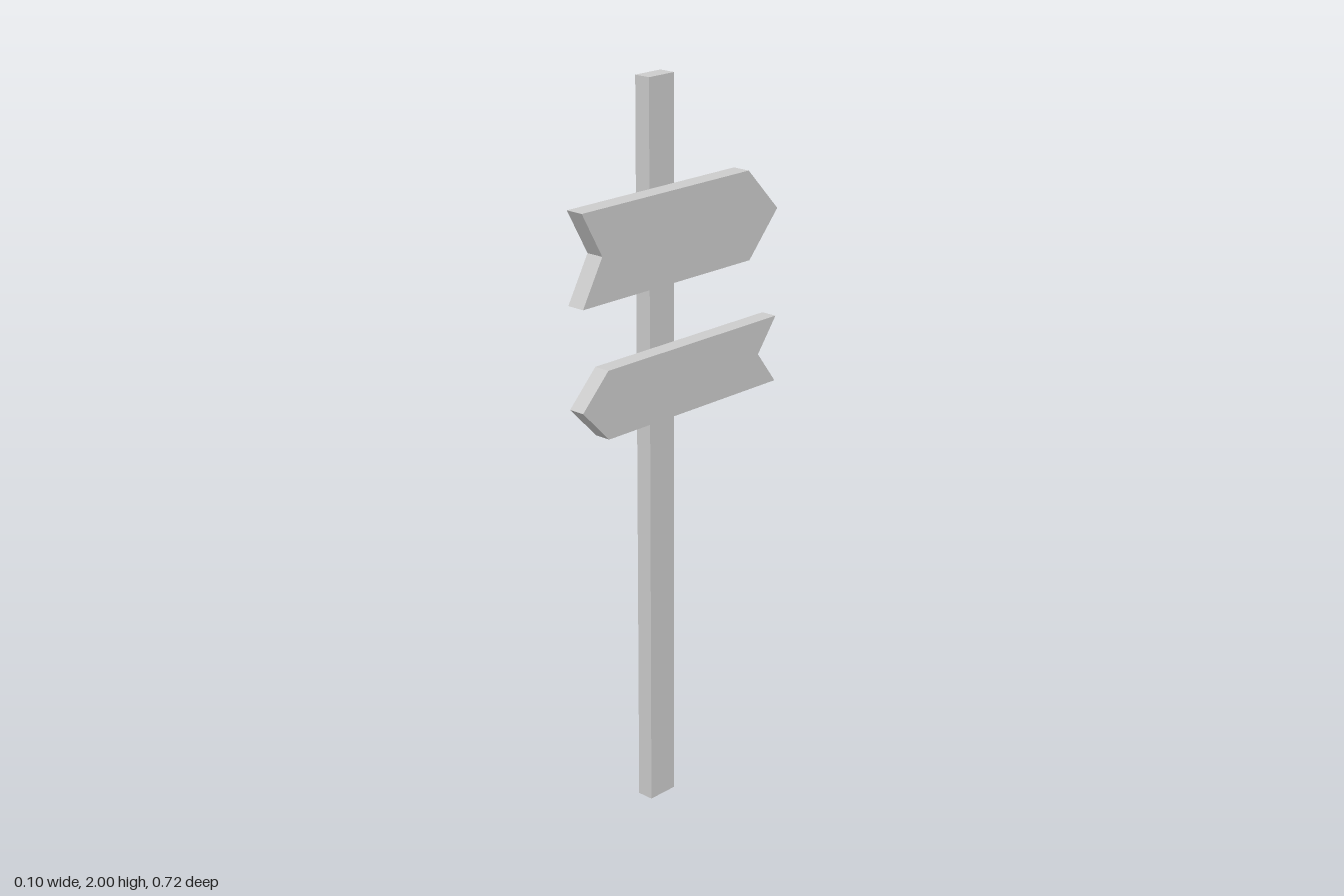
import * as THREE from 'three';

const material = new THREE.MeshStandardMaterial({ color: 0xcccccc, flatShading: true });
const FACE_X = -0.002; // plane where the boards meet the post

// Arrow board: outline drawn as [z, y] points, extruded along +x from the post face
function arrowBoard(name, outline, thickness) {
  const shape = new THREE.Shape(outline.map(([z, y]) => new THREE.Vector2(-z, y)));
  const geometry = new THREE.ExtrudeGeometry(shape, { depth: thickness, bevelEnabled: false });
  geometry.rotateY(Math.PI / 2).translate(FACE_X, 0, 0);
  const mesh = new THREE.Mesh(geometry, material);
  mesh.name = name;
  return mesh;
}

export function createModel() {
  const group = new THREE.Group();
  group.name = 'signpost';

  // Square-cut upright behind the boards
  const post = new THREE.Mesh(new THREE.BoxGeometry(0.047, 2, 0.09), material);
  post.name = 'post';
  post.position.set(FACE_X - 0.0235, 1, 0.03);
  group.add(post);

  // Upper board points to the back, notched tail at the front
  group.add(arrowBoard('upperSign', [
    [0.362, 1.48], [-0.248, 1.48], [-0.356, 1.6], [-0.241, 1.72], [0.362, 1.72], [0.294, 1.6],
  ], 0.051));

  // Lower, narrower board points to the front
  group.add(arrowBoard('lowerSign', [
    [0.272, 1.12], [-0.362, 1.12], [-0.293, 1.21], [-0.362, 1.302], [0.272, 1.302], [0.362, 1.211],
  ], 0.046));

  return group;
}
